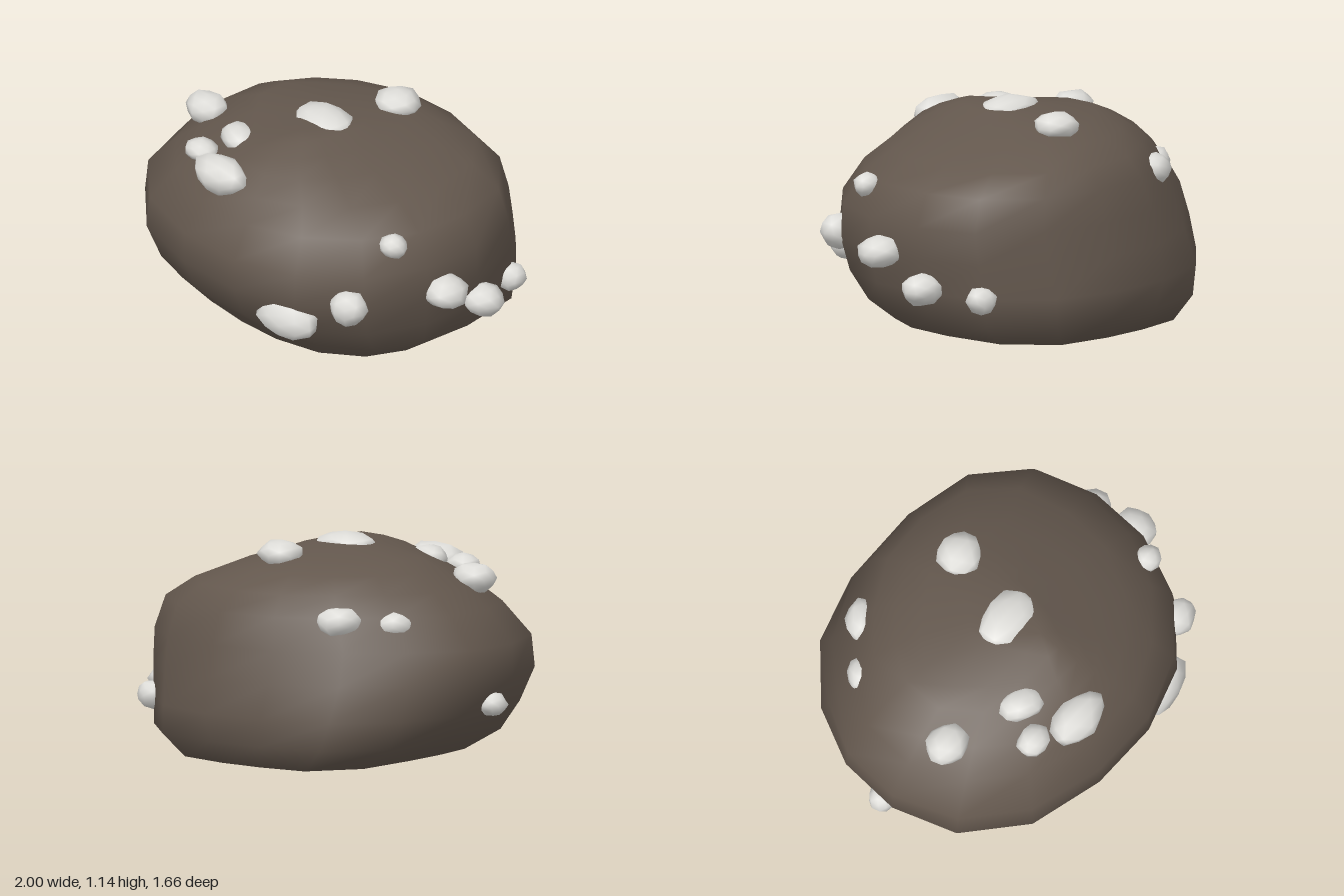
import * as THREE from 'three';
import { mergeVertices } from 'three/addons/utils/BufferGeometryUtils.js';

// Boulder cross-sections: height, reach towards -x, +x, -z, +z,
// then fullness of the corners -x-z, +x-z, +x+z, -x+z
const RINGS = [
  [0.03, 0.31, 0.32, 0.38, 0.36, 1.10, 1.08, 1.00, 1.12],
  [0.08, 0.56, 0.64, 0.74, 0.51, 1.16, 1.10, 1.00, 1.16],
  [0.19, 0.77, 0.79, 0.80, 0.61, 1.10, 1.10, 1.00, 1.12],
  [0.33, 0.90, 0.84, 0.84, 0.76, 1.01, 1.03, 1.00, 1.04],
  [0.50, 0.98, 0.87, 0.81, 0.83, 0.92, 1.02, 1.00, 1.03],
  [0.66, 0.98, 0.87, 0.77, 0.83, 0.88, 1.03, 0.98, 1.01],
  [0.82, 0.85, 0.79, 0.72, 0.74, 0.87, 1.06, 0.95, 0.98],
  [0.92, 0.73, 0.63, 0.64, 0.65, 0.89, 1.06, 0.92, 0.94],
  [1.00, 0.59, 0.44, 0.52, 0.56, 0.92, 1.02, 0.91, 0.86],
  [1.05, 0.48, 0.27, 0.40, 0.47, 0.85, 0.96, 0.92, 0.80],
  [1.09, 0.20, 0.16, 0.14, 0.36, 0.85, 0.95, 0.95, 0.80],
];
const SIDES = 16;
const ROUNDNESS = 2.2;

// Nodules: centre x, y, z, then half-sizes x, y, z, and turn about y
const NODULES = [
  [-0.02, 1.08, 0.06, 0.17, 0.06, 0.12, 0],
  [0.07, 1.07, -0.34, 0.115, 0.07, 0.11, 0],
  [-0.67, 0.95, 0.25, 0.115, 0.075, 0.10, 0],
  [-0.28, 1.0, 0.39, 0.115, 0.06, 0.085, -0.4],
  [-0.37, 0.95, 0.55, 0.09, 0.055, 0.075, 0],
  [-0.14, 0.94, 0.63, 0.165, 0.095, 0.105, 0],
  [-0.43, 0.80, -0.53, 0.115, 0.075, 0.08, 0.65],
  [-0.63, 0.78, -0.35, 0.09, 0.065, 0.07, 0.6],
  [0.75, 0.79, 0.29, 0.07, 0.06, 0.065, 0],
  [0.69, 0.51, 0.53, 0.105, 0.09, 0.09, 0],
  [0.42, 0.39, 0.68, 0.17, 0.10, 0.10, 0.3],
  [0.89, 0.51, 0.07, 0.11, 0.08, 0.11, 0],
  [0.87, 0.36, -0.19, 0.105, 0.08, 0.10, 0],
  [0.75, 0.33, -0.48, 0.08, 0.07, 0.075, 0],
  [-0.93, 0.37, 0.06, 0.07, 0.06, 0.07, 0],
];

function boulderGeometry() {
  const pos = [];
  const index = [];
  for (const [y, left, right, back, front, leftBack, rightBack, rightFront, leftFront] of RINGS) {
    for (let j = 0; j < SIDES; j++) {
      const a = ((j + 0.5) / SIDES) * Math.PI * 2;
      const c = Math.cos(a);
      const s = Math.sin(a);
      const corner = s > 0 ? (c > 0 ? rightFront : leftFront) : (c > 0 ? rightBack : leftBack);
      const fullness = 1 + (corner - 1) * Math.sin(2 * a) ** 2;
      const r = fullness / (Math.abs(c) ** ROUNDNESS + Math.abs(s) ** ROUNDNESS) ** (1 / ROUNDNESS);
      pos.push(c * r * (c > 0 ? right : left), y, s * r * (s > 0 ? front : back));
    }
  }
  const bottom = RINGS.length * SIDES;
  const top = bottom + 1;
  pos.push(0, 0, 0.03, 0.02, 1.115, 0.24);
  const last = (RINGS.length - 1) * SIDES;
  for (let j = 0; j < SIDES; j++) {
    const k = (j + 1) % SIDES;
    index.push(bottom, j, k, top, last + k, last + j);
    for (let i = 0; i < last; i += SIDES) {
      index.push(i + j, i + SIDES + j, i + k, i + k, i + SIDES + j, i + SIDES + k);
    }
  }
  const geo = new THREE.BufferGeometry();
  geo.setAttribute('position', new THREE.Float32BufferAttribute(pos, 3));
  geo.setIndex(index);
  geo.computeVertexNormals();
  return geo;
}

// A lumpy, smooth-shaded pebble of unit radius
function noduleGeometry(seed) {
  let geo = new THREE.IcosahedronGeometry(1, 1);
  geo.deleteAttribute('normal');
  geo.deleteAttribute('uv');
  geo = mergeVertices(geo, 1e-3);
  const p = geo.attributes.position;
  const v = new THREE.Vector3();
  for (let i = 0; i < p.count; i++) {
    v.fromBufferAttribute(p, i);
    v.multiplyScalar(1 + 0.07 * Math.sin(i * 2.3 + seed * 1.7));
    p.setXYZ(i, v.x, v.y, v.z);
  }
  geo.computeVertexNormals();
  return geo;
}

export function createModel() {
  const stone = new THREE.MeshStandardMaterial({ color: 0x63574d });
  stone.name = 'brown stone';
  const pale = new THREE.MeshStandardMaterial({ color: 0xdcdbd7 });
  pale.name = 'pale grey';

  const model = new THREE.Group();
  model.name = 'studdedBoulder';

  const boulder = new THREE.Mesh(boulderGeometry(), stone);
  boulder.name = 'boulder';
  model.add(boulder);

  // Pale nodules half sunk into the surface
  const nodules = new THREE.Group();
  nodules.name = 'nodules';
  NODULES.forEach(([x, y, z, rx, ry, rz, turn], i) => {
    const mesh = new THREE.Mesh(noduleGeometry(i), pale);
    mesh.name = `nodule${i + 1}`;
    mesh.position.set(x, y, z);
    mesh.scale.set(rx, ry, rz);
    mesh.rotation.y = turn;
    nodules.add(mesh);
  });
  model.add(nodules);
  return model;
}
